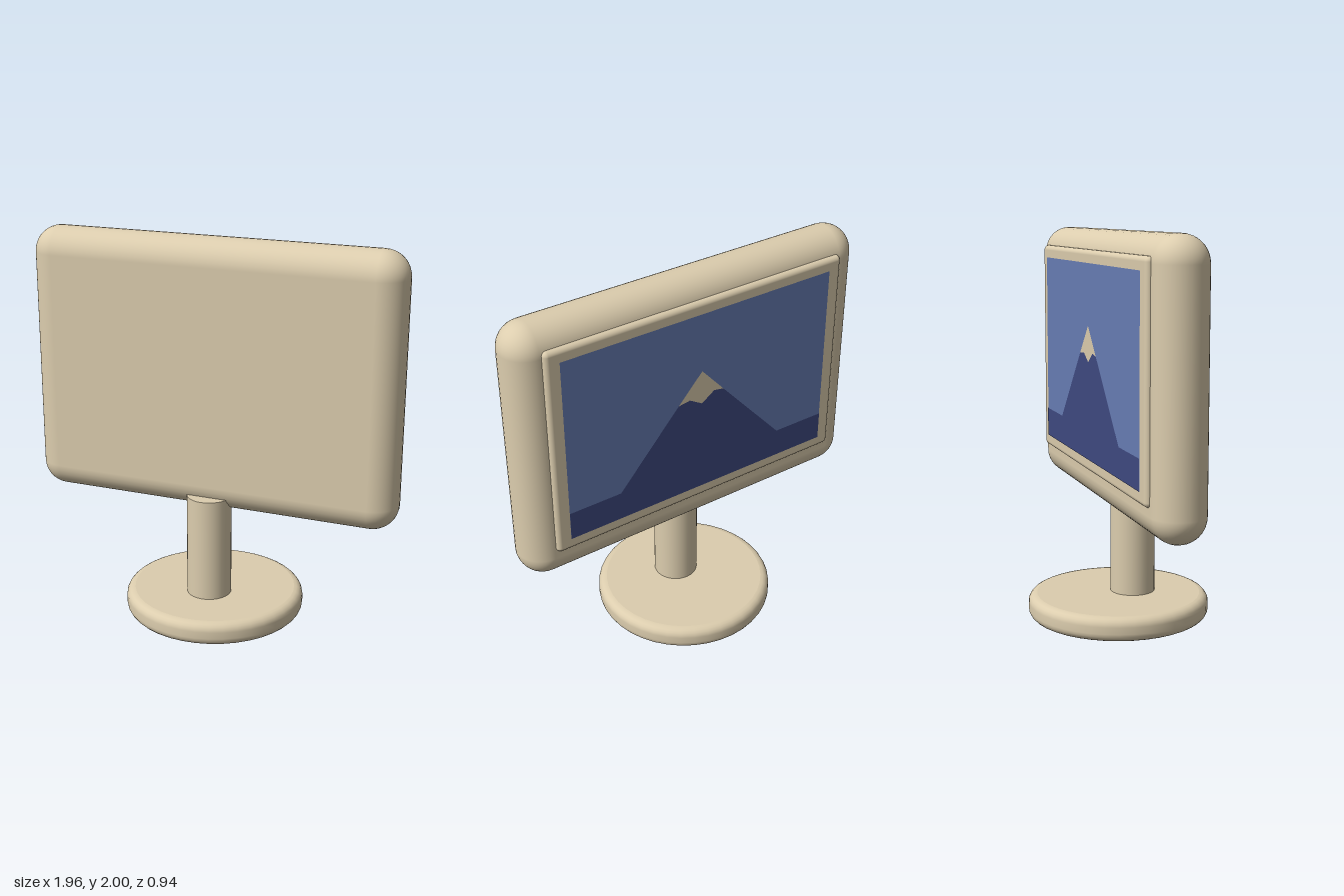
import * as THREE from 'three';
import { RoundedBoxGeometry } from 'three/addons/geometries/RoundedBoxGeometry.js';

// Screen picture size and centre height
const W = 1.53, H = 1.0, MID = 1.335;

export function createModel() {
  const model = new THREE.Group();
  model.name = 'desktopMonitor';

  const material = (name, color) => {
    const m = new THREE.MeshStandardMaterial({ color });
    m.name = name;
    return m;
  };
  const beige = material('beigePlastic', 0xdccdae);
  const sky = material('skyBlue', 0x687db5);
  const navy = material('mountainNavy', 0x3f4a81);

  const add = (name, geometry, mat, x = 0, y = 0, z = 0) => {
    const mesh = new THREE.Mesh(geometry, mat);
    mesh.name = name;
    mesh.position.set(x, y, z);
    model.add(mesh);
    return mesh;
  };

  // Disc of radius r and height h, with rims rounded by b
  const disc = (r, h, b) => {
    const points = [new THREE.Vector2(0, 0), new THREE.Vector2(r - b, 0)];
    for (const [cy, start] of [[b, -Math.PI / 2], [h - b, 0]]) {
      for (let i = 0; i <= 5; i++) {
        const a = start + (i / 5) * Math.PI / 2;
        points.push(new THREE.Vector2(r - b + b * Math.cos(a), cy + b * Math.sin(a)));
      }
    }
    points.push(new THREE.Vector2(r - b, h), new THREE.Vector2(0, h));
    return new THREE.LatheGeometry(points, 40);
  };

  // Stand
  add('base', disc(0.47, 0.125, 0.045), beige);
  add('neck', new THREE.CylinderGeometry(0.116, 0.116, 0.57, 32), beige, 0, 0.385, 0.079);

  // Casing and the raised screen frame on the -z side
  add('casing', new RoundedBoxGeometry(1.96, 1.405, 0.27, 5, 0.134), beige, 0, 1.2975, 0);
  add('screenFrame', new RoundedBoxGeometry(1.68, 1.13, 0.1, 4, 0.025), beige, 0, MID, -0.107);

  // Flat picture layers: u runs left to right and v top to bottom as seen from behind
  const picture = (name, uv, mat, z) => {
    const shape = new THREE.Shape(uv.map(([u, v]) => new THREE.Vector2((u - 0.5) * W, (0.5 - v) * H)));
    add(name, new THREE.ShapeGeometry(shape), mat, 0, MID, z).rotation.y = Math.PI;
  };
  const peak = [0.5, 0.312];
  const snowLeft = [0.41, 0.464], snowRight = [0.583, 0.455];
  const snowLine = [snowLeft, [0.453, 0.454], [0.5, 0.497], [0.547, 0.446], snowRight];

  picture('screenSky', [[0, 0], [1, 0], [1, 1], [0, 1]], sky, -0.1585);
  picture('mountain', [
    [0, 1], [0, 0.846], [0.188, 0.846], ...snowLine, [0.812, 0.846], [1, 0.846], [1, 1],
  ], navy, -0.1605);
  picture('snowCap', [...snowLine, peak], beige, -0.1605);

  return model;
}
